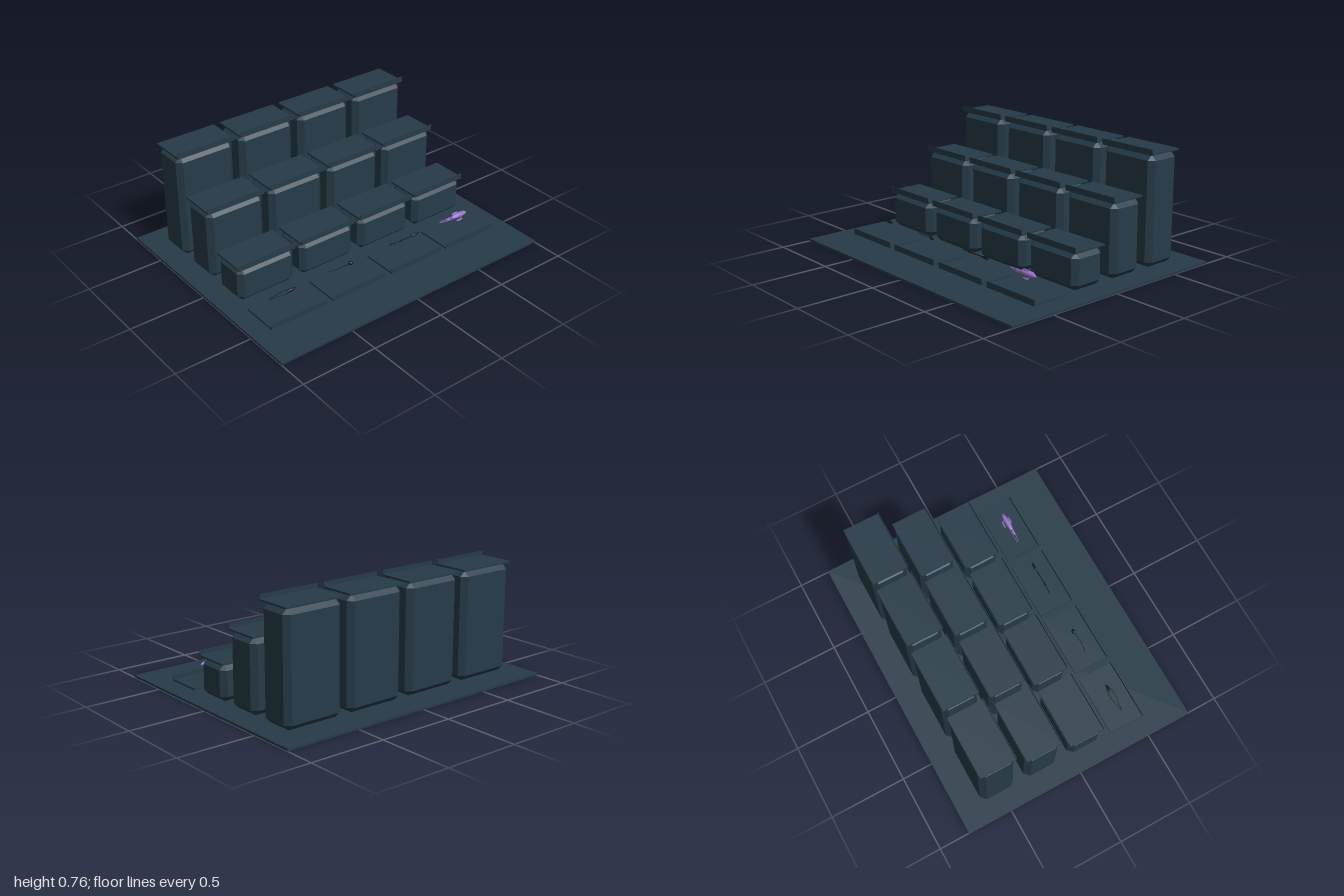
import * as THREE from 'three';
import { ConvexGeometry } from 'three/addons/geometries/ConvexGeometry.js';

const slate = new THREE.MeshStandardMaterial({ color: 0x263b48 });
slate.name = 'slate';
const black = new THREE.MeshStandardMaterial({ color: 0x12181d });
black.name = 'black';
const purple = new THREE.MeshStandardMaterial({ color: 0x9a74cc });
purple.name = 'purple';

function add(parent, name, geometry, material, x = 0, y = 0, z = 0) {
  const mesh = new THREE.Mesh(geometry, material);
  mesh.name = name;
  mesh.position.set(x, y, z);
  parent.add(mesh);
  return mesh;
}

// Box with every edge and corner cut off by c
function chamferedBox(w, h, d, c) {
  const points = [];
  for (const sx of [-1, 1]) for (const sy of [-1, 1]) for (const sz of [-1, 1]) {
    const x = w / 2, y = h / 2, z = d / 2;
    points.push(
      new THREE.Vector3(sx * x, sy * (y - c), sz * (z - c)),
      new THREE.Vector3(sx * (x - c), sy * y, sz * (z - c)),
      new THREE.Vector3(sx * (x - c), sy * (y - c), sz * z)
    );
  }
  return new ConvexGeometry(points);
}

// Ellipsoid stretched along x
function blob(parent, name, material, x, y, z, length, thickness) {
  add(parent, name, new THREE.SphereGeometry(1, 10, 8), material, x, y, z)
    .scale.set(length / 2, thickness / 2, thickness / 2);
}

// Thin strand through [x, y, z] points
function strand(parent, name, material, points, radius = 0.002) {
  const curve = new THREE.CatmullRomCurve3(points.map((p) => new THREE.Vector3(...p)));
  add(parent, name, new THREE.TubeGeometry(curve, 20, radius, 5), material);
}

function specimen(name, x) {
  const group = new THREE.Group();
  group.name = name;
  group.position.set(x, 0.132, 0.405);
  return group;
}

export function createModel() {
  const model = new THREE.Group();
  add(model, 'base', new THREE.BoxGeometry(2, 0.015, 1.6), slate, 0, 0.0075, 0);

  // Stepped rows of pedestals, each under a shelf with a front lip
  const columns = [-0.677, -0.226, 0.226, 0.677];
  const rows = [[0.41, 0.022], [0.1, 0.255], [-0.21, 0.49], [-0.52, 0.725]];
  for (const [z, top] of rows) {
    for (const x of columns) {
      if (top > 0.1) {
        const h = top - 0.025;
        add(model, 'pedestal', chamferedBox(0.402, h, 0.235, 0.034), slate, x, 0.022 + h / 2, z);
      }
      add(model, 'shelf', new THREE.BoxGeometry(0.405, 0.011, 0.236), slate, x, top + 0.0055, z);
      add(model, 'shelfLip', new THREE.BoxGeometry(0.405, 0.038, 0.004), slate, x, top + 0.018, z + 0.118);
    }
  }

  // Looped specimen with a small head
  const loop = specimen('loopSpecimen', -0.71);
  for (const s of [-1, 1]) {
    strand(loop, 'loopStrand', black, [[-0.1, 0, 0], [-0.05, 0, s * 0.008], [0.02, 0, s * 0.018],
      [0.06, 0, s * 0.014], [0.1, 0, 0]]);
  }
  blob(loop, 'head', black, 0.065, 0, 0, 0.06, 0.018);
  model.add(loop);

  // Ball with a curved tail
  const ball = specimen('ballSpecimen', -0.2);
  blob(ball, 'head', black, 0, 0, 0, 0.034, 0.026);
  strand(ball, 'tail', black, [[-0.16, 0, -0.008], [-0.12, 0, 0.003], [-0.06, 0, 0.004], [0, 0, 0]]);
  model.add(ball);

  // Long needle with two swellings
  const needle = specimen('needleSpecimen', 0.225);
  strand(needle, 'shaft', black, [[-0.12, 0, -0.006], [-0.06, 0, 0], [0, 0, 0], [0.125, 0, 0]], 0.0035);
  blob(needle, 'swelling', black, -0.055, 0, 0, 0.03, 0.014);
  blob(needle, 'head', black, 0.09, 0, 0, 0.06, 0.018);
  model.add(needle);

  // Purple specimen: body, three side pods on struts and trailing tails
  const pod = specimen('podSpecimen', 0.69);
  blob(pod, 'body', purple, 0, 0, 0, 0.14, 0.036);
  blob(pod, 'tailBulb', purple, -0.085, 0, 0, 0.045, 0.016);
  for (let i = 0; i < 3; i++) {
    const a = Math.PI + i * Math.PI * 2 / 3;
    const z = Math.cos(a), y = Math.sin(a);
    blob(pod, 'sidePod', purple, -0.005, y * 0.031, z * 0.031, 0.055, 0.011);
    strand(pod, 'strut', purple, [[0.025, y * 0.012, z * 0.012], [0.012, y * 0.024, z * 0.024],
      [-0.005, y * 0.031, z * 0.031]], 0.003);
    strand(pod, 'trailingTail', purple, [[-0.04, y * 0.01, z * 0.01], [-0.09, y * 0.008, z * 0.012],
      [-0.16, 0, -0.006 + z * 0.006]], 0.0018);
  }
  model.add(pod);
  return model;
}
